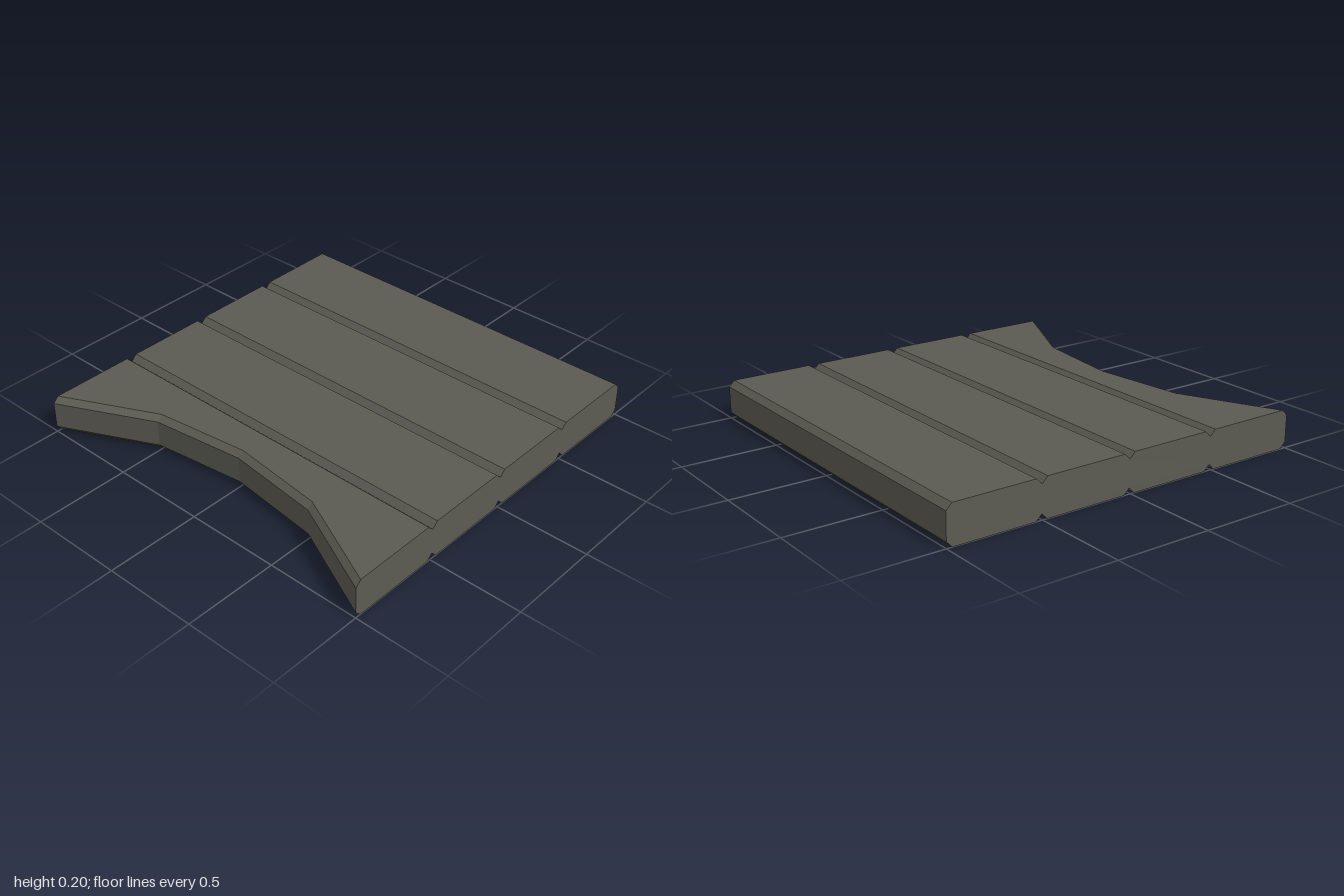
import * as THREE from 'three';

const HEIGHT = 0.2, CHAMFER = 0.03;
const SEAMS = [-0.488, 0.008, 0.504];

// Cross-section of the planks: chamfered ends and V grooves above and below
function plankProfile() {
  const c = CHAMFER, h = HEIGHT;
  const bottom = [[-1, c], [-1 + c, 0]];
  for (const x of SEAMS) bottom.push([x - c, 0], [x, c], [x + c, 0]);
  bottom.push([1 - c, 0], [1, c]);
  const top = bottom.map(([x, y]) => [x, h - y]).reverse();
  return new THREE.Shape([...bottom, ...top].map(([x, y]) => new THREE.Vector2(x, y)));
}

// How far the hollowed side is cut in at a given z
function cutDepth(z) {
  const a = Math.abs(z);
  return a > 0.5 ? 0.24 * (1 - a) / 0.5 : 0.3 - 0.06 * a / 0.5;
}

export function createModel() {
  const group = new THREE.Group();
  group.name = 'plankPanel';

  // Extrude along z in four steps, then push the right side inward
  const geometry = new THREE.ExtrudeGeometry(plankProfile(), { depth: 2, steps: 4, bevelEnabled: false });
  geometry.translate(0, 0, -1);
  const p = geometry.attributes.position;
  for (let i = 0; i < p.count; i++) {
    if (p.getX(i) < -0.9) p.setX(i, p.getX(i) + cutDepth(p.getZ(i)));
  }
  geometry.computeVertexNormals();

  const material = new THREE.MeshStandardMaterial({ color: 0x5b5a52, flatShading: true });
  const planks = new THREE.Mesh(geometry, material);
  planks.name = 'planks';
  group.add(planks);
  return group;
}
